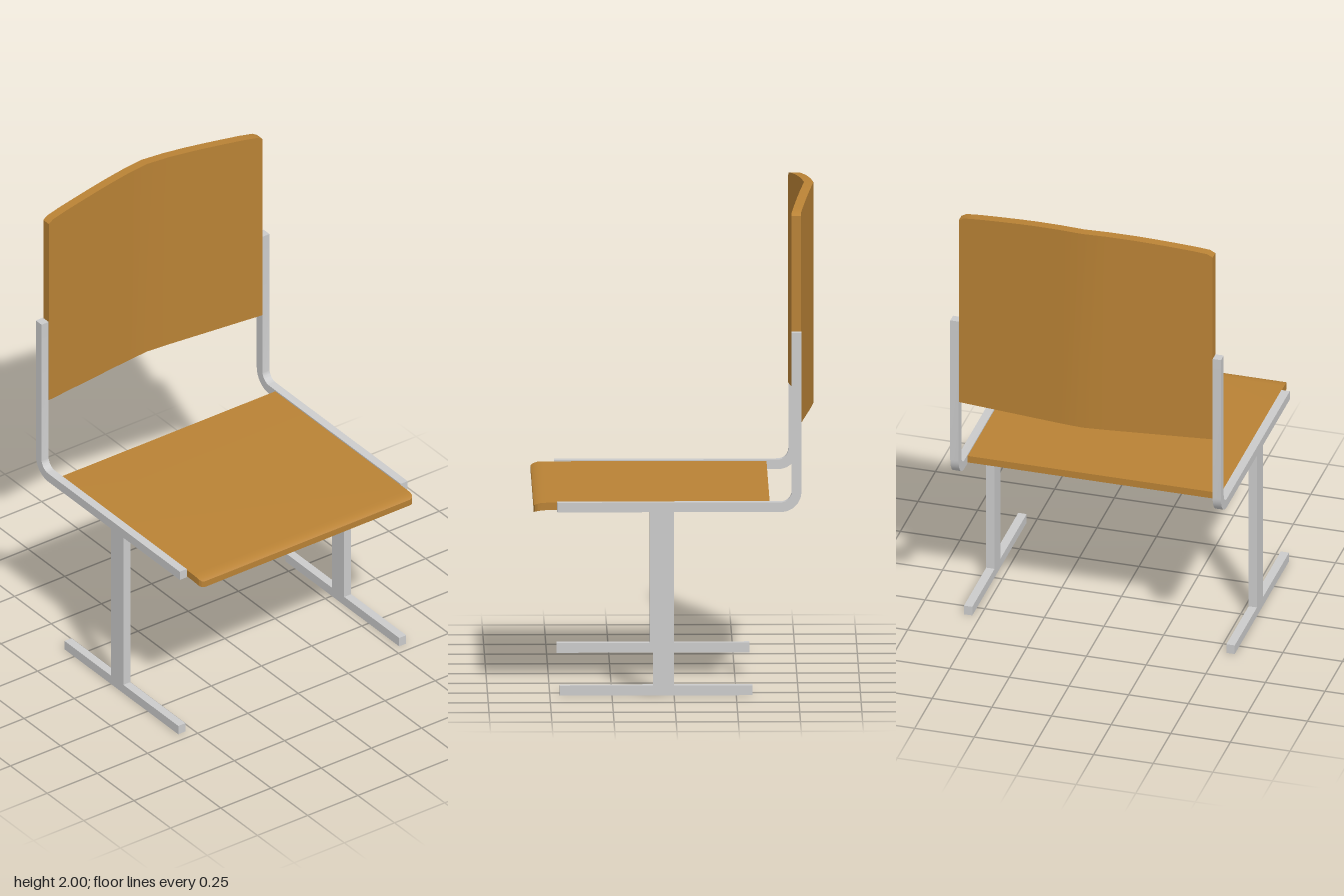
import * as THREE from 'three';
import { toCreasedNormals } from 'three/addons/utils/BufferGeometryUtils.js';

const metal = new THREE.MeshStandardMaterial({ color: 0xcccccc });
const wood = new THREE.MeshStandardMaterial({ color: 0xb98235 });

const RAIL_Z = 0.55;   // centre of each side frame
const RAIL_W = 0.035;  // sideways thickness of the frame
const HALF = 0.532;    // half width of the wooden panels

function addMesh(parent, name, geometry, material) {
  const mesh = new THREE.Mesh(geometry, material);
  mesh.name = name;
  parent.add(mesh);
  return mesh;
}

// Unit box whose vertices are moved by a rule, then given creased normals
function shapedBox(segX, segZ, rule) {
  const geo = new THREE.BoxGeometry(1, 1, 1, segX, 1, segZ);
  const pos = geo.attributes.position;
  for (let i = 0; i < pos.count; i++) {
    pos.setXYZ(i, ...rule(pos.getX(i), pos.getY(i), pos.getZ(i)));
  }
  return toCreasedNormals(geo, 0.4);
}

// Seat: stations from rear to front [x, top, bottom, half width]
function seatGeometry() {
  const stations = [
    [-0.385, 0.78, 0.75, HALF],
    [0.51, 0.78, 0.75, HALF],
    [0.535, 0.779, 0.748, HALF],
    [0.55, 0.775, 0.745, 0.53],
    [0.56, 0.77, 0.742, 0.524],
    [0.564, 0.767, 0.74, 0.513],
  ];
  const n = stations.length - 1;
  return shapedBox(n, 1, (x, y, z) => {
    const [sx, top, bottom, half] = stations[Math.round((x + 0.5) * n)];
    return [sx, y > 0 ? top : bottom, 2 * z * half];
  });
}

// Backrest: stations from the middle outwards [|z|, rear x, top y]
function backGeometry() {
  const stations = [
    [0, -0.567, 2],
    [0.1, -0.558, 1.998],
    [0.2, -0.547, 1.992],
    [0.27, -0.539, 1.986],
    [0.36, -0.529, 1.977],
    [0.45, -0.519, 1.967],
    [0.51, -0.512, 1.958],
    [HALF, -0.51, 1.945],
  ];
  const n = stations.length - 1;
  return shapedBox(1, 2 * n, (x, y, z) => {
    const [sz, rear, top] = stations[Math.round(Math.abs(z) * 2 * n)];
    return [x > 0 ? rear + 0.038 : rear, y > 0 ? top : 1.1, Math.sign(z) * sz];
  });
}

// Bent L-shaped bar carrying the seat and the backrest
function railGeometry() {
  const s = new THREE.Shape();
  s.moveTo(0.47, 0.785);
  s.lineTo(-0.43, 0.785);
  s.absarc(-0.43, 0.828, 0.043, -Math.PI / 2, -Math.PI, true);
  s.lineTo(-0.473, 1.475);
  s.lineTo(-0.512, 1.475);
  s.lineTo(-0.512, 0.828);
  s.absarc(-0.43, 0.828, 0.082, Math.PI, Math.PI * 1.5, false);
  s.lineTo(0.47, 0.746);
  s.closePath();
  const geo = new THREE.ExtrudeGeometry(s, { depth: RAIL_W, bevelEnabled: false, curveSegments: 6 });
  geo.translate(0, 0, -RAIL_W / 2);
  return toCreasedNormals(geo, 0.5);
}

export function createModel() {
  const chair = new THREE.Group();
  chair.name = 'chair';

  addMesh(chair, 'seat', seatGeometry(), wood);
  addMesh(chair, 'backrest', backGeometry(), wood);

  // One side frame on each side
  for (const [side, name] of [[1, 'leftFrame'], [-1, 'rightFrame']]) {
    const frame = new THREE.Group();
    frame.name = name;
    frame.position.z = side * RAIL_Z;
    addMesh(frame, 'bentRail', railGeometry(), metal);
    addMesh(frame, 'leg', new THREE.BoxGeometry(0.083, 0.706, RAIL_W), metal).position.set(0.043, 0.393, 0);
    addMesh(frame, 'foot', new THREE.BoxGeometry(0.776, 0.04, RAIL_W), metal).position.set(0.072, 0.02, 0);
    chair.add(frame);
  }
  return chair;
}
